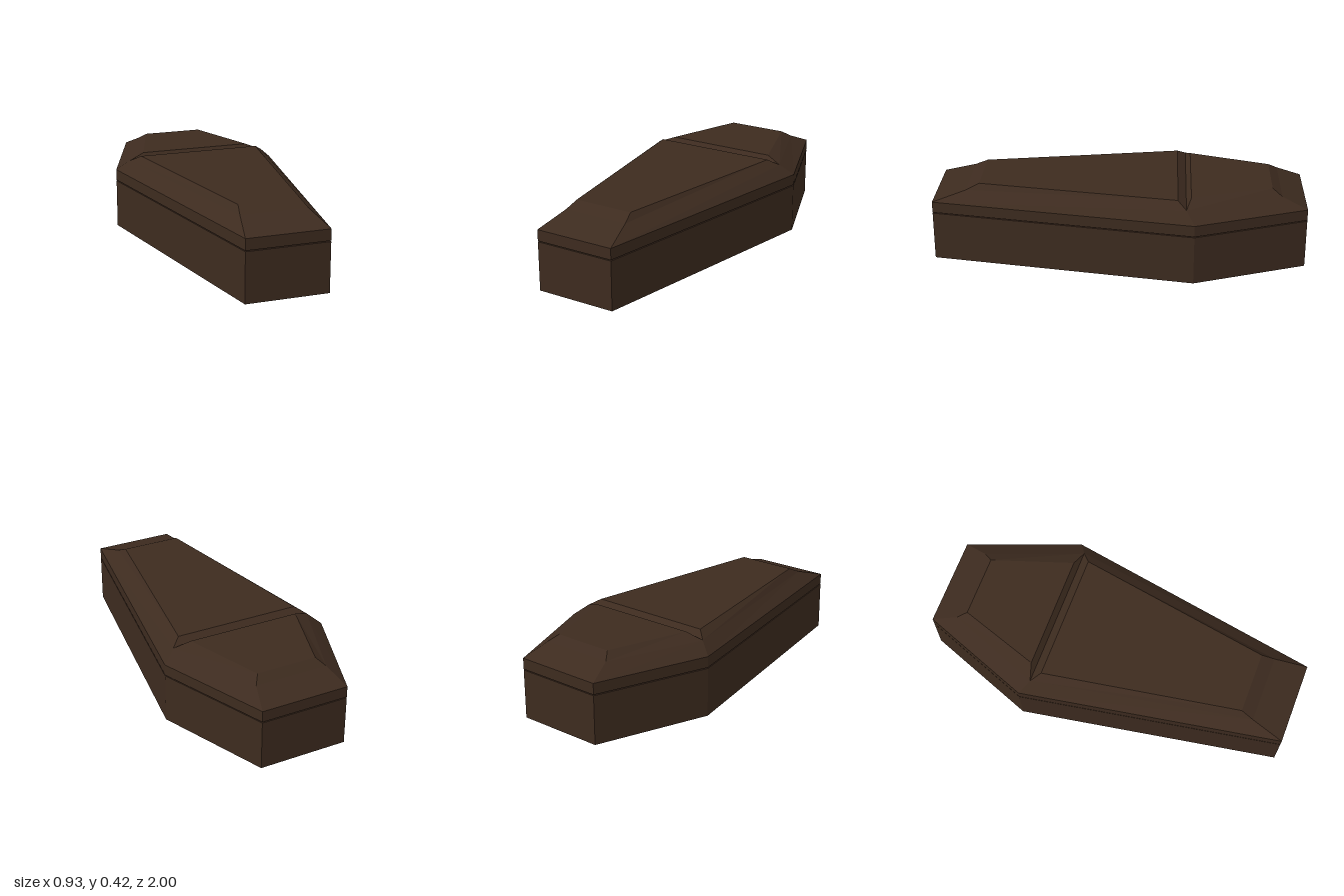
import * as THREE from 'three';

const BODY_TOP = 0.265, RIM_BOTTOM = 0.27, RIM_TOP = 0.33, MID = 0.387, TOP = 0.42;

// Six-sided plan: narrow foot (+z), wide shoulders, narrow head (-z)
function planPrism(y0, y1) {
  const half = [[0.222, 1], [0.466, -0.4], [0.24, -1]];
  const outline = [...half, ...half.map(([x, z]) => [-x, z]).reverse()];
  const shape = new THREE.Shape(outline.map(([x, z]) => new THREE.Vector2(x, -z)));
  const geometry = new THREE.ExtrudeGeometry(shape, { depth: y1 - y0, bevelEnabled: false });
  geometry.rotateX(-Math.PI / 2);
  geometry.translate(0, y0, 0);
  return geometry;
}

// Bevelled lid top with a V groove across the shoulders
function lidTop() {
  const foot = [0.222, RIM_TOP, 1], footMid = [0.181, MID, 0.82], footTop = [0.165, TOP, 0.75];
  const shoulder = [0.466, RIM_TOP, -0.4], groove = [0.397, MID, -0.357];
  const grooveFront = [0.345, TOP, -0.312], grooveBack = [0.31, TOP, -0.383];
  const headTop = [0.165, TOP, -0.815], headMid = [0.2, MID, -0.865], head = [0.24, RIM_TOP, -1];

  const positions = [];
  const mirror = ([x, y, z]) => [-x, y, z];
  const quad = (a, b, c, d) => positions.push(...a, ...b, ...c, ...a, ...c, ...d);

  // Faces spanning the full width, from foot to head
  const spine = [foot, footMid, footTop, grooveFront, groove, grooveBack, headTop, headMid, head];
  for (let i = 0; i < spine.length - 1; i++) {
    quad(spine[i], spine[i + 1], mirror(spine[i + 1]), mirror(spine[i]));
  }

  // Sloping side faces, mirrored left and right
  const sides = [
    [foot, shoulder, groove, footMid],
    [footMid, groove, grooveFront, footTop],
    [shoulder, head, headMid, groove],
    [groove, headMid, headTop, grooveBack],
  ];
  for (const side of sides) {
    quad(...side);
    quad(...side.map(mirror).reverse());
  }

  const geometry = new THREE.BufferGeometry();
  geometry.setAttribute('position', new THREE.Float32BufferAttribute(positions, 3));
  geometry.computeVertexNormals();
  return geometry;
}

export function createModel() {
  const wood = new THREE.MeshStandardMaterial({ color: 0x3d2b1f });
  wood.name = 'darkWood';
  wood.flatShading = true;

  const add = (parent, name, geometry) => {
    const mesh = new THREE.Mesh(geometry, wood);
    mesh.name = name;
    parent.add(mesh);
  };

  const model = new THREE.Group();
  model.name = 'coffin';
  add(model, 'body', planPrism(0, BODY_TOP));

  // Lid sits just above the body, leaving a thin seam
  const lid = new THREE.Group();
  lid.name = 'lid';
  add(lid, 'lidRim', planPrism(RIM_BOTTOM, RIM_TOP));
  add(lid, 'lidTop', lidTop());
  model.add(lid);
  return model;
}
